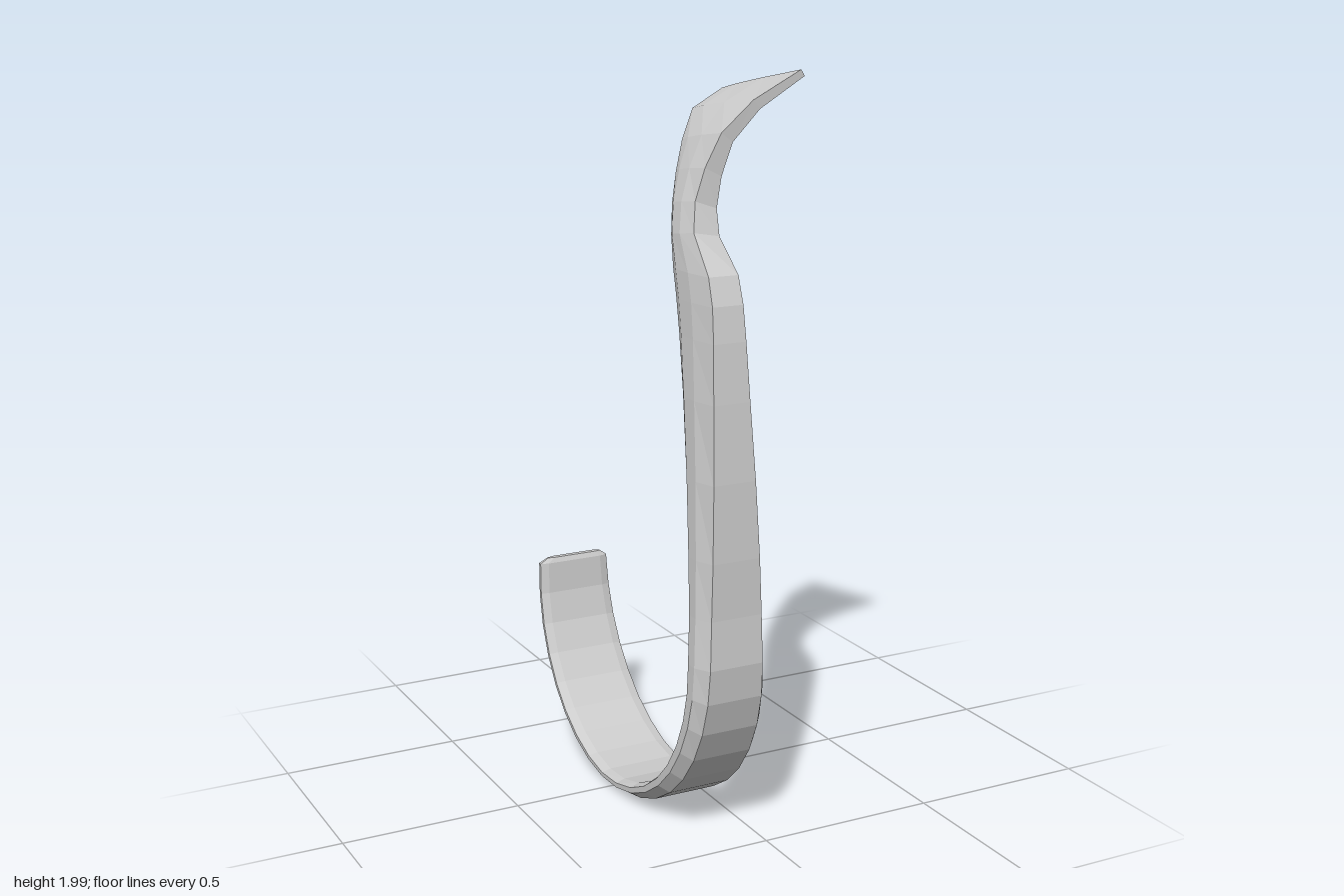
import * as THREE from 'three';

// Eight-sided outline: [across the width, towards the outer face]
const OUTLINE = [[1, -0.6], [1, 0.1], [0.76, 1], [-0.76, 1], [-1, 0.1], [-1, -0.6], [-0.78, -1], [0.78, -1]];
const V = (x, y, z) => new THREE.Vector3(x, y, z);

// One cross-section from its centre and two half-axes
const ring = (c, u, v) => OUTLINE.map(([a, b]) => c.clone().addScaledVector(u, a).addScaledVector(v, b));

// Skin the rings and close both ends
function loft(rings) {
  const n = OUTLINE.length, pos = [], index = [];
  rings.forEach(r => r.forEach(p => pos.push(p.x, p.y, p.z)));
  for (let r = 0; r < rings.length - 1; r++) {
    for (let i = 0; i < n; i++) {
      const j = (i + 1) % n, a = r * n + i, b = r * n + j;
      index.push(a, a + n, b + n, a, b + n, b);
    }
  }
  const last = (rings.length - 1) * n;
  for (let i = 1; i < n - 1; i++) {
    index.push(0, i, i + 1, last, last + i + 1, last + i);
  }
  const g = new THREE.BufferGeometry();
  g.setAttribute('position', new THREE.Float32BufferAttribute(pos, 3));
  g.setIndex(index);
  g.computeVertexNormals();
  return g;
}

export function createModel() {
  const group = new THREE.Group();
  group.name = 'curvedHook';
  const rings = [];

  // Rounded tip
  rings.push(ring(V(-0.1, 0.536, -0.494), V(0.085, 0, 0), V(0, 0, -0.008)));

  // Semicircular ribbon, thickening towards the front
  const steps = 17, R = 0.515;
  for (let i = 0; i <= steps; i++) {
    const s = i / steps, a = Math.PI * (1 + s);
    const half = 0.016 + 0.032 * Math.pow(Math.max(0, (s - 0.45) / 0.55), 1.3);
    const width = s < 0.45
      ? 0.121 - 0.014 * Math.pow(1 - s / 0.45, 2)
      : 0.121 - 0.021 * Math.pow((s - 0.45) / 0.55, 1.5);
    const out = V(0, Math.sin(a), Math.cos(a));
    const c = out.clone().multiplyScalar(R - half).add(V(-0.104, 0.522, 0.004));
    rings.push(ring(c, V(width, 0, 0), out.multiplyScalar(half)));
  }

  // Shank: [y, left x, right x, front z, back z]
  [
    [0.65, -0.195, -0.004, 0.509, 0.411],
    [0.8, -0.188, -0.01, 0.505, 0.39],
    [1.0, -0.177, -0.019, 0.492, 0.354],
    [1.2, -0.164, -0.027, 0.47, 0.308],
    [1.35, -0.152, -0.03, 0.449, 0.267],
    [1.44, -0.145, -0.03, 0.431, 0.238],
    [1.51, -0.139, -0.028, 0.4, 0.21],
  ].forEach(([y, x0, x1, f, b]) =>
    rings.push(ring(V((x0 + x1) / 2, y, (f + b) / 2), V((x1 - x0) / 2, 0, 0), V(0, 0, (f - b) / 2))));

  // Twisted, flaring blade: [front point, back point, half thickness, lean in degrees]
  [
    [V(-0.078, 1.6, 0.3), V(-0.078, 1.58, 0.178), 0.049, 10],
    [V(-0.062, 1.67, 0.266), V(-0.062, 1.65, 0.14), 0.043, 19],
    [V(-0.036, 1.75, 0.256), V(-0.036, 1.725, 0.097), 0.035, 27],
    [V(0.004, 1.835, 0.255), V(-0.002, 1.8, 0.052), 0.027, 36],
    [V(0.085, 1.915, 0.262), V(0.053, 1.875, -0.008), 0.02, 50],
    [V(0.217, 1.99, 0.266), V(0.157, 1.925, -0.045), 0.013, 57],
  ].forEach(([f, b, half, deg]) => {
    const t = THREE.MathUtils.degToRad(deg);
    const u = V(Math.cos(t) * half, -Math.sin(t) * half, 0);
    rings.push(ring(f.clone().add(b).multiplyScalar(0.5), u, f.clone().sub(b).multiplyScalar(0.5)));
  });

  const mesh = new THREE.Mesh(loft(rings),
    new THREE.MeshStandardMaterial({ color: 0xcccccc, flatShading: true }));
  mesh.name = 'hookBody';
  group.add(mesh);
  return group;
}
